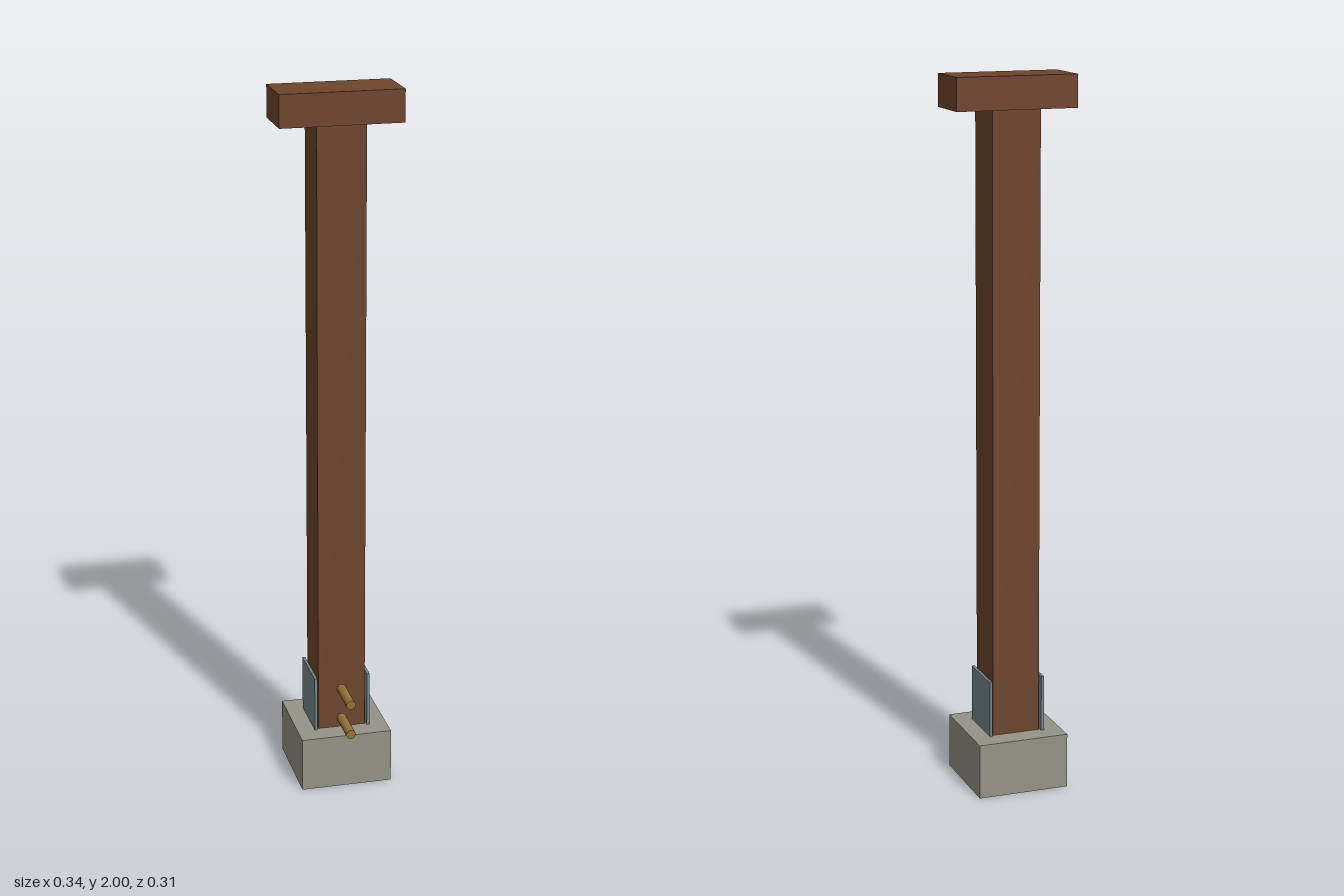
import * as THREE from 'three';

const wood = new THREE.MeshStandardMaterial({ name: 'brown wood', color: 0x6f452d });
const concrete = new THREE.MeshStandardMaterial({ name: 'grey concrete', color: 0x949487 });
const steel = new THREE.MeshStandardMaterial({ name: 'blue grey steel', color: 0x76888c });
const brass = new THREE.MeshStandardMaterial({ name: 'brass', color: 0x967238 });

const AXIS_Z = -0.025; // the post stands slightly behind the centre

export function createModel() {
  const model = new THREE.Group();
  model.name = 'post';

  const add = (name, geometry, material, x, y, z) => {
    const mesh = new THREE.Mesh(geometry, material);
    mesh.name = name;
    mesh.position.set(x, y, z);
    model.add(mesh);
    return mesh;
  };

  // Box given by its bottom and top heights, centred on the post axis
  const block = (name, material, width, depth, bottom, top, x = 0) =>
    add(name, new THREE.BoxGeometry(width, top - bottom, depth), material, x, (bottom + top) / 2, AXIS_Z);

  block('footing', concrete, 0.262, 0.264, 0, 0.157);
  block('column', wood, 0.137, 0.137, 0.157, 1.91);
  block('capBeam', wood, 0.342, 0.154, 1.91, 2);

  // Steel plates on both sides of the column foot
  for (const side of [-1, 1]) {
    block(side > 0 ? 'leftPlate' : 'rightPlate', steel, 0.008, 0.154, 0.157, 0.318, side * 0.077);
  }

  // Two round pins sticking out of the front
  const pinGeometry = new THREE.CylinderGeometry(0.0135, 0.0135, 0.156, 16).rotateX(Math.PI / 2);
  add('lowerPin', pinGeometry, brass, 0, 0.184, 0.078);
  add('upperPin', pinGeometry, brass, 0, 0.276, 0.078);

  return model;
}
